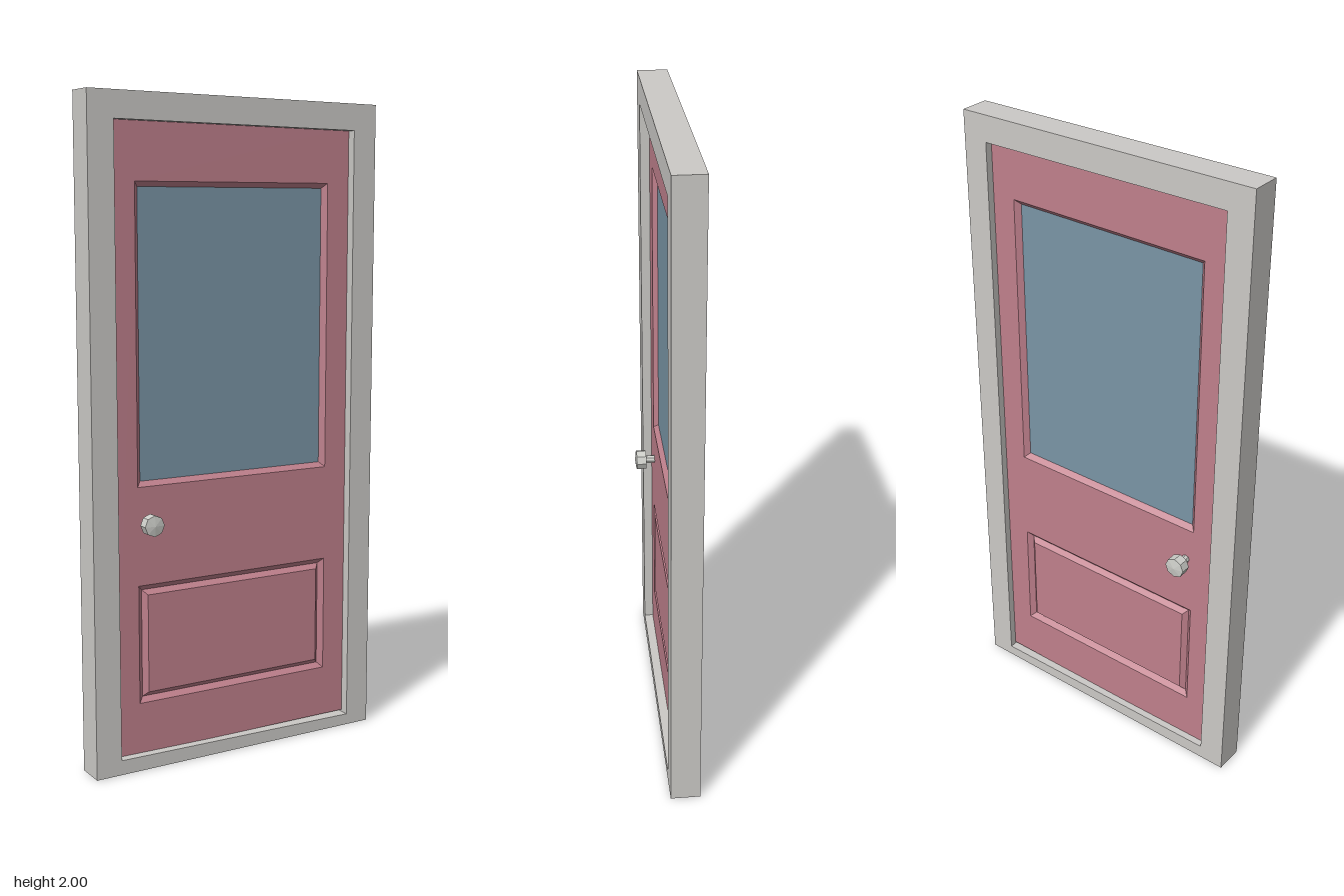
import * as THREE from 'three';

const mat = (name, color) => new THREE.MeshStandardMaterial({ name, color });

// rectangle corners, counter-clockwise seen from +z
const rect = (x, y0, y1) => [[-x, y0], [x, y0], [x, y1], [-x, y1]];
const inset = (r, d) => [[r[0][0] + d, r[0][1] + d], [r[1][0] - d, r[1][1] + d],
  [r[2][0] - d, r[2][1] - d], [r[3][0] + d, r[3][1] - d]];
const toPoints = (r) => r.map(([x, y]) => new THREE.Vector2(x, y));

function mesh(name, geometry, material) {
  const m = new THREE.Mesh(geometry, material);
  m.name = name;
  return m;
}

function flat(geometry) {
  const g = geometry.index ? geometry.toNonIndexed() : geometry;
  g.computeVertexNormals();
  return g;
}

// four mitred faces joining rectangle a at depth za to rectangle b at depth zb
function strip(a, za, b, zb) {
  const p = [];
  for (let i = 0; i < 4; i++) {
    const j = (i + 1) % 4;
    const A = [...a[i], za], B = [...a[j], za], C = [...b[j], zb], D = [...b[i], zb];
    p.push(...A, ...B, ...C, ...A, ...C, ...D);
  }
  const g = new THREE.BufferGeometry();
  g.setAttribute('position', new THREE.Float32BufferAttribute(p, 3));
  return flat(g);
}

// flat face with rectangular holes
function face(outer, holes, z) {
  const s = new THREE.Shape(toPoints(outer));
  holes.forEach((h) => s.holes.push(new THREE.Path(toPoints(h))));
  return new THREE.ShapeGeometry(s).translate(0, 0, z);
}

// frame with a slightly sloping head and sill, open underneath
function frameGeometry() {
  const depth = 0.092;
  const s = new THREE.Shape(toPoints([[-0.492, 0], [0.49, 0], [0.49, 1.99], [-0.492, 2]]));
  s.holes.push(new THREE.Path(toPoints([[-0.41, 0.045], [0.41, 0.035], [0.41, 1.91], [-0.41, 1.92]])));
  const full = new THREE.ExtrudeGeometry(s, { depth, bevelEnabled: false }).translate(0, 0, -depth / 2);
  const src = full.index ? full.toNonIndexed() : full;
  const pos = src.attributes.position;
  const kept = [];
  for (let i = 0; i < pos.count; i += 3) {
    if ([0, 1, 2].every((k) => pos.getY(i + k) < 1e-5)) continue;
    for (let k = 0; k < 3; k++) kept.push(pos.getX(i + k), pos.getY(i + k), pos.getZ(i + k));
  }
  const g = new THREE.BufferGeometry();
  g.setAttribute('position', new THREE.Float32BufferAttribute(kept, 3));
  return flat(g);
}

// one face of the door: stiles and rails, glazing bevel, grooved panel
function doorSide(paint, glass) {
  const g = new THREE.Group();
  const t = 0.02, glassZ = 0.005, grooveZ = 0.006;
  const edge = rect(0.415, 0.041, 1.925);
  const windowHole = rect(0.333, 0.863, 1.75);
  const panelHole = rect(0.333, 0.2, 0.564);
  const pane = inset(windowHole, 0.015);
  const groove = inset(panelHole, 0.016);
  const field = inset(panelHole, 0.031);
  g.add(
    mesh('doorFace', face(edge, [windowHole, panelHole], t), paint),
    mesh('doorEdge', strip(edge, 0, edge, t), paint),
    mesh('windowBevel', strip(windowHole, t, pane, glassZ), paint),
    mesh('windowPane', face(pane, [], glassZ), glass),
    mesh('panelOuterBevel', strip(panelHole, t, groove, grooveZ), paint),
    mesh('panelInnerBevel', strip(groove, grooveZ, field, t), paint),
    mesh('panelField', face(field, [], t), paint),
  );
  return g;
}

// eight-sided knob on a short stem, pointing to +z
function knobGeometry() {
  const profile = [[0.013, 0.01], [0.013, 0.049], [0.032, 0.049], [0.032, 0.08], [0, 0.085]];
  return flat(new THREE.LatheGeometry(toPoints(profile), 8).rotateX(Math.PI / 2));
}

export function createModel() {
  const model = new THREE.Group();
  model.name = 'door';
  const framePaint = mat('framePaint', 0xcbc9c6);
  const doorPaint = mat('doorPaint', 0xbf808c);
  const glass = mat('glass', 0x7a95a6);
  const metal = mat('knobMetal', 0xcccdc8);

  model.add(mesh('frame', frameGeometry(), framePaint));

  // door leaf, the same on both sides
  const leaf = new THREE.Group();
  leaf.name = 'doorLeaf';
  ['front', 'back'].forEach((side, i) => {
    const half = doorSide(doorPaint, glass);
    half.name = side + 'DoorSide';
    half.rotation.y = i * Math.PI;
    leaf.add(half);

    const knob = mesh(side + 'Knob', knobGeometry(), metal);
    knob.position.set(-0.308, 0.755, 0);
    knob.rotation.y = i * Math.PI;
    leaf.add(knob);
  });
  leaf.position.z = -0.003;
  model.add(leaf);
  return model;
}
